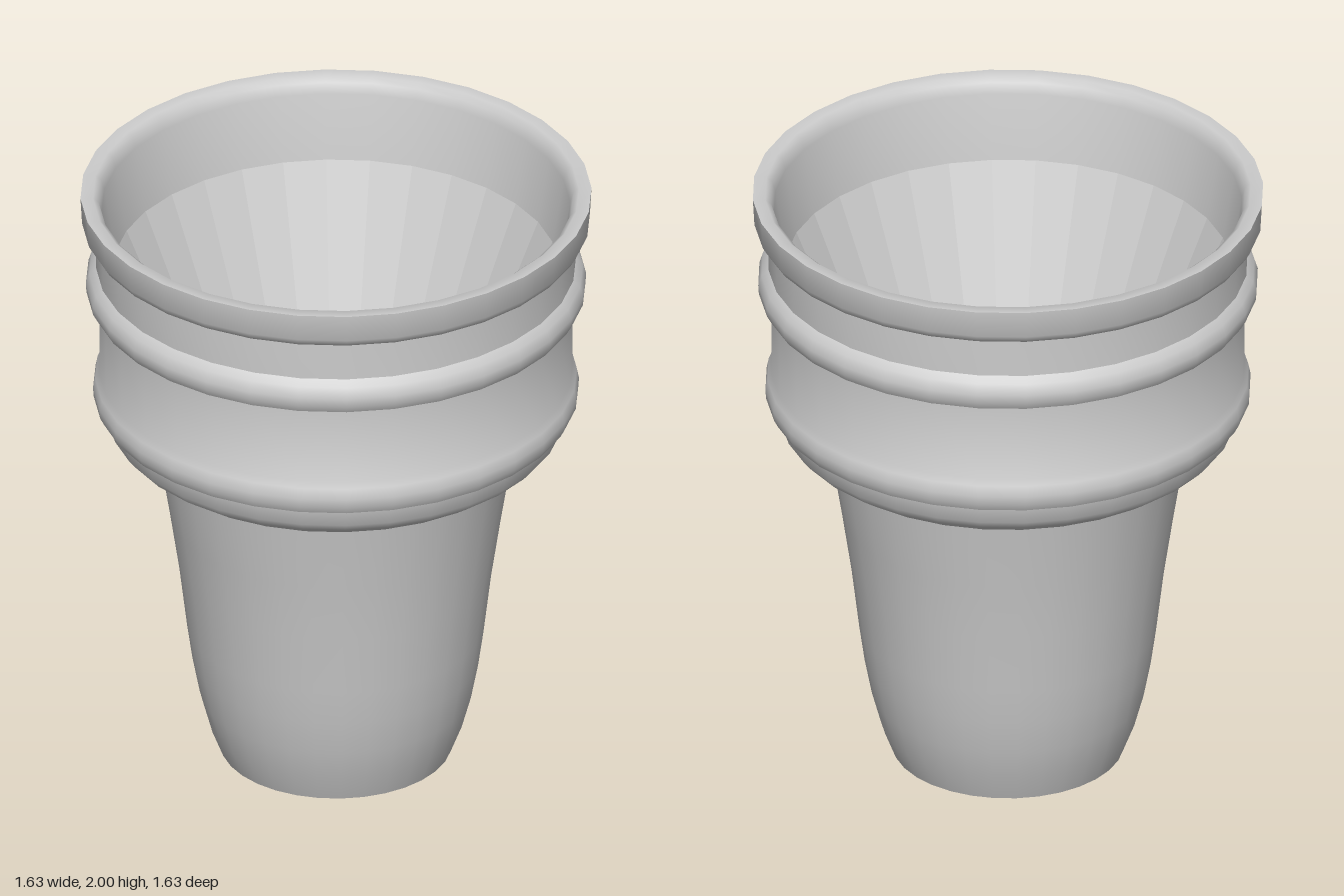
import * as THREE from 'three';
import { toCreasedNormals } from 'three/addons/utils/BufferGeometryUtils.js';

const SIDES = 32;

export function createModel() {
  const group = new THREE.Group();
  const smooth = new THREE.MeshStandardMaterial({ color: 0xcccccc });
  const faceted = new THREE.MeshStandardMaterial({ color: 0xcccccc, flatShading: true });

  const add = (name, geometry, material = smooth) => {
    const mesh = new THREE.Mesh(geometry, material);
    mesh.name = name;
    group.add(mesh);
    return mesh;
  };
  const lathe = (profile) =>
    new THREE.LatheGeometry(profile.map(([r, y]) => new THREE.Vector2(r, y)), SIDES);
  const turned = (name, profile) => add(name, toCreasedNormals(lathe(profile), 0.75));
  const disc = (name, radius, y, up) => {
    const mesh = add(name, new THREE.CircleGeometry(radius, SIDES));
    mesh.rotation.x = up ? -Math.PI / 2 : Math.PI / 2;
    mesh.position.y = y;
  };

  // Tapered foot, rounded in towards the base
  turned('taperedFoot', [
    [0.37, 0], [0.405, 0.09], [0.435, 0.2], [0.458, 0.32], [0.475, 0.44],
    [0.5, 0.65], [0.53, 0.85], [0.567, 1.08],
  ]);
  disc('base', 0.37, 0, false);

  // Wide cup: sloping underside, two raised bands and straight walls
  turned('cup', [
    [0.567, 1.08], [0.65, 1.125], [0.7, 1.16], [0.725, 1.19], [0.732, 1.25],
    [0.76, 1.255], [0.773, 1.28], [0.775, 1.31], [0.768, 1.345], [0.755, 1.365],
    [0.755, 1.63],
    [0.782, 1.635], [0.796, 1.66], [0.798, 1.69], [0.787, 1.725], [0.765, 1.745],
    [0.765, 1.875],
  ]);

  // Rim, rolled over into the mouth
  turned('rim', [
    [0.765, 1.875], [0.795, 1.885], [0.81, 1.91], [0.815, 2],
    [0.775, 2], [0.757, 1.985], [0.747, 1.95], [0.71, 1.73],
  ]);

  // Faceted hollow tapering to a flat floor
  add('innerWall', lathe([[0.71, 1.73], [0.373, 0.95]]), faceted);
  disc('innerFloor', 0.373, 0.95, true);

  return group;
}
